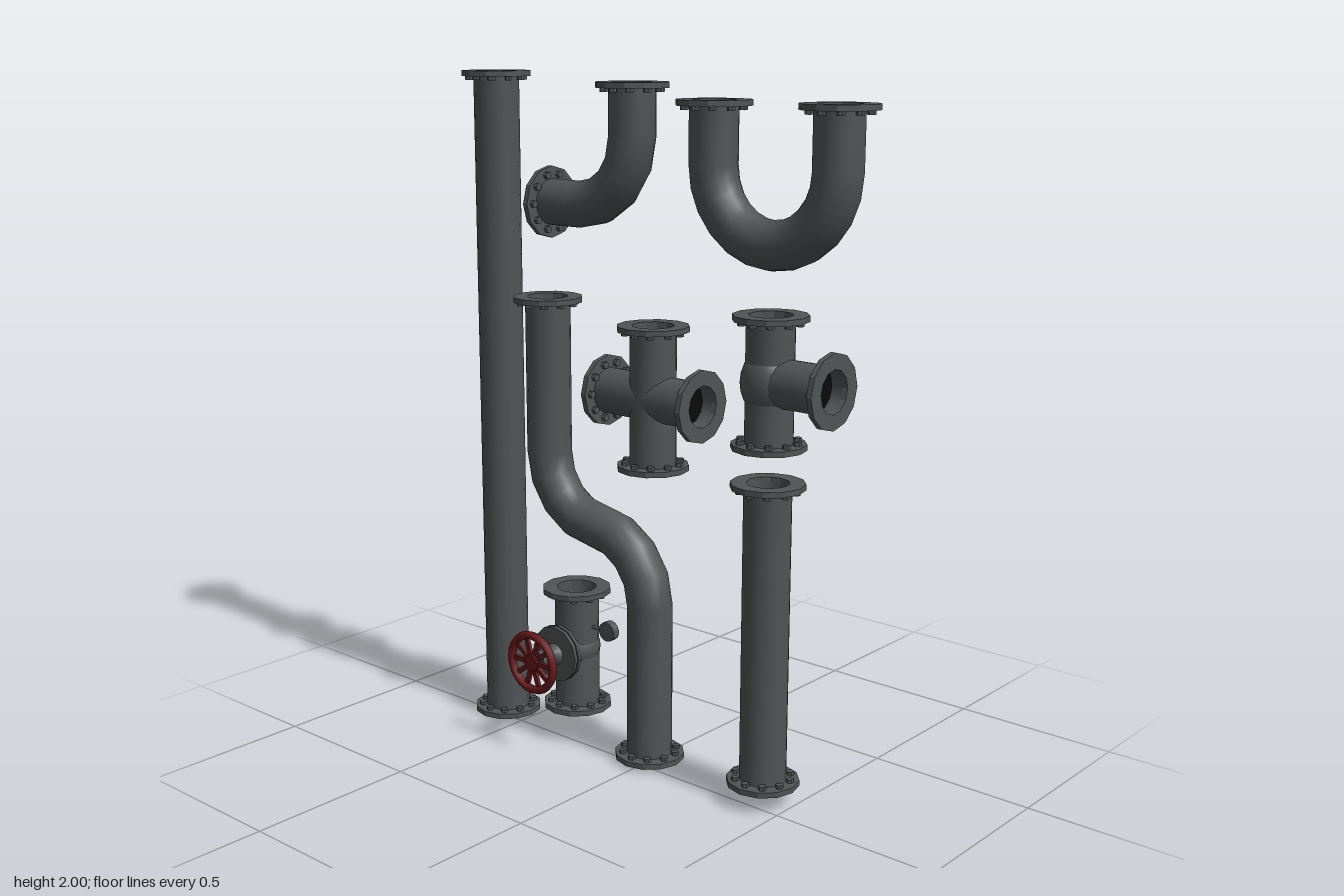
import * as THREE from 'three';
import { toCreasedNormals } from 'three/addons/utils/BufferGeometryUtils.js';

const Z = -0.052;          // depth of every pipe axis
const R = 0.067;           // pipe outer radius
const RI = 0.06;           // pipe bore
const BEND = 0.2;          // bend radius of the centre line

function colour(name, hex) {
  const m = new THREE.MeshStandardMaterial({ color: hex });
  m.name = name;
  return m;
}
const iron = colour('dark iron', 0x505455);
const red = colour('dark red', 0x6a191c);
const black = colour('bore black', 0x0a0a0a);
const steel = colour('stem steel', 0x858a8a);

function add(parent, name, geometry, material, x = 0, y = 0, z = 0) {
  const mesh = new THREE.Mesh(geometry, material);
  mesh.name = name;
  mesh.position.set(x, y, z);
  parent.add(mesh);
  return mesh;
}

// Round wall swept along a flat path of [x, y, tangentX, tangentY]
function sweep(path, sides = 16) {
  const pos = [], index = [];
  path.forEach(([x, y, tx, ty], i) => {
    for (let j = 0; j < sides; j++) {
      const a = (j / sides) * Math.PI * 2, c = Math.cos(a) * R;
      pos.push(x + ty * c, y - tx * c, Math.sin(a) * R);
      if (i === path.length - 1) continue;
      const p = i * sides + j, q = i * sides + (j + 1) % sides;
      index.push(p, p + sides, q, q, p + sides, q + sides);
    }
  });
  const g = new THREE.BufferGeometry();
  g.setAttribute('position', new THREE.Float32BufferAttribute(pos, 3));
  g.setIndex(index);
  g.computeVertexNormals();
  return g;
}

// Path points around a bend
function arc(cx, cy, from, to, steps) {
  const turn = Math.sign(to - from), out = [];
  for (let i = 0; i <= steps; i++) {
    const a = from + (to - from) * i / steps, c = Math.cos(a), s = Math.sin(a);
    out.push([cx + BEND * c, cy + BEND * s, -s * turn, c * turn]);
  }
  return out;
}

const lathe = (points, sides) => new THREE.LatheGeometry(
  points.map(([x, y]) => new THREE.Vector2(x, y)), sides);
const plateGeo = toCreasedNormals(lathe(
  [[RI, -0.016], [0.104, -0.016], [0.104, 0], [RI, 0], [RI, -0.016]], 12), 0.4);
const boltGeo = toCreasedNormals(new THREE.CylinderGeometry(0.011, 0.011, 0.012, 6), 0.4);

// Flange plate with its outer face at y = 0, bolts behind it, bore ending in the dark
function flange(parent, x, y, dx, dy, depth) {
  const g = new THREE.Group();
  g.name = 'flange';
  add(g, 'flangePlate', plateGeo, iron);
  add(g, 'bore', lathe([[RI, -0.016], [RI, -depth]], 12), iron);
  add(g, 'boreEnd', new THREE.CircleGeometry(RI, 12), black, 0, -depth, 0).rotation.x = -Math.PI / 2;
  for (let i = 0; i < 10; i++) {
    const a = (i + 0.5) * Math.PI / 5;
    add(g, 'bolt', boltGeo, iron, Math.cos(a) * 0.081, -0.021, Math.sin(a) * 0.081);
  }
  g.position.set(x, y, 0);
  g.rotation.z = Math.atan2(-dx, dy);
  parent.add(g);
}

// Pipe flanged at the end, and at the start unless it is a branch
function pipe(parent, path, depth, startFlange = true) {
  add(parent, 'pipeWall', sweep(path), iron);
  const s = path[0], e = path[path.length - 1];
  if (startFlange) flange(parent, s[0], s[1], -s[2], -s[3], depth);
  flange(parent, e[0], e[1], e[2], e[3], depth);
}

const upright = (x, y0, y1) => [[x, y0, 0, 1], [x, y1, 0, 1]];
const level = (y, x0, x1) => [[x0, y, 1, 0], [x1, y, 1, 0]];
const DEEP = 0.075, SHALLOW = 0.05;

function gateValve(parent) {
  const x = -0.304, y = 0.286;
  pipe(parent, upright(x, 0.095, 0.476), SHALLOW);
  add(parent, 'valveBody', new THREE.SphereGeometry(0.071, 16, 12), iron, x, y);

  // Bonnet and stem, turned about the forward axis
  const bonnet = new THREE.Group();
  bonnet.name = 'bonnet';
  bonnet.position.set(x, y, -Z);
  bonnet.rotation.x = Math.PI / 2;
  parent.add(bonnet);
  const turned = (name, material, r0, r1, from, to, sides = 12) => add(bonnet, name,
    toCreasedNormals(new THREE.CylinderGeometry(r1, r0, to - from, sides), 0.6),
    material, 0, (from + to) / 2, 0);
  turned('bonnetNeck', iron, 0.06, 0.06, -0.05, 0.04, 16);
  turned('bonnetLowerPlate', iron, 0.086, 0.086, 0.022, 0.032);
  turned('bonnetUpperPlate', iron, 0.086, 0.086, 0.037, 0.048);
  turned('bonnetCone', iron, 0.034, 0.02, 0.048, 0.075);
  turned('stem', steel, 0.013, 0.013, 0.07, 0.15, 10);
  turned('glandRing', iron, 0.024, 0.024, 0.108, 0.118);
  add(bonnet, 'glandBall', new THREE.SphereGeometry(0.029, 12, 8), iron, 0, 0.094, 0);

  // Handwheel
  const wheel = new THREE.Group();
  wheel.name = 'handwheel';
  wheel.position.set(x, y, 0.143 - Z);
  parent.add(wheel);
  add(wheel, 'wheelRim', new THREE.TorusGeometry(0.085, 0.0125, 8, 24), red);
  const hub = add(wheel, 'wheelHub',
    toCreasedNormals(new THREE.CylinderGeometry(0.027, 0.027, 0.022, 12), 0.6), red, 0, 0, -0.003);
  hub.rotation.x = Math.PI / 2;
  for (let i = 0; i < 10; i++) {
    const a = i * Math.PI / 5;
    const spoke = add(wheel, 'spoke', new THREE.BoxGeometry(0.066, 0.014, 0.01), red,
      Math.cos(a) * 0.05, Math.sin(a) * 0.05, -0.002);
    spoke.rotation.z = a;
  }

  // Side gauge on a thin stem
  const stem = add(parent, 'gaugeStem', new THREE.CylinderGeometry(0.006, 0.006, 0.09, 8), iron, x + 0.085, 0.361);
  stem.rotation.z = Math.PI / 2;
  const dial = add(parent, 'gauge',
    toCreasedNormals(new THREE.CylinderGeometry(0.03, 0.03, 0.024, 14), 0.6), iron, -0.173, 0.363);
  dial.rotation.x = Math.PI / 2;
}

export function createModel() {
  const model = new THREE.Group();
  model.name = 'pipeSet';
  const part = (name, build) => {
    const g = new THREE.Group();
    g.name = name;
    g.position.z = Z;
    build(g);
    model.add(g);
  };
  const Q = Math.PI / 2;

  part('longPipe', g => pipe(g, upright(-0.611, 0, 2), DEEP));
  part('shortPipe', g => pipe(g, upright(0.41, 0.053, 0.928), DEEP));
  part('elbowPipe', g => pipe(g, [
    [-0.403, 1.63, 1, 0], ...arc(-0.277, 1.83, -Q, 0, 4), [-0.077, 1.977, 0, 1]], DEEP));
  part('returnBend', g => pipe(g, [
    [0.211, 1.937, 0, -1], ...arc(0.411, 1.767, -2 * Q, 0, 12), [0.611, 1.937, 0, 1]], DEEP));
  part('offsetPipe', g => pipe(g, [
    [-0.411, 1.352, 0, -1], ...arc(-0.211, 0.883, 2 * Q, 3 * Q, 4),
    ...arc(-0.211, 0.483, Q, 0, 4).slice(1), [-0.011, 0.01, 0, -1]], DEEP));
  part('crossFitting', g => {
    pipe(g, upright(0, 0.895, 1.311), SHALLOW);
    pipe(g, level(1.103, -0.182, 0.182), SHALLOW);
  });
  part('teeFitting', g => {
    pipe(g, upright(0.41, 1.022, 1.386), SHALLOW);
    pipe(g, level(1.206, 0.41, 0.618), SHALLOW, false);
    const body = add(g, 'teeBody', new THREE.SphereGeometry(0.081, 16, 12), iron, 0.41, 1.206);
    body.scale.y = 1.2;
  });
  part('gateValve', gateValve);
  return model;
}
